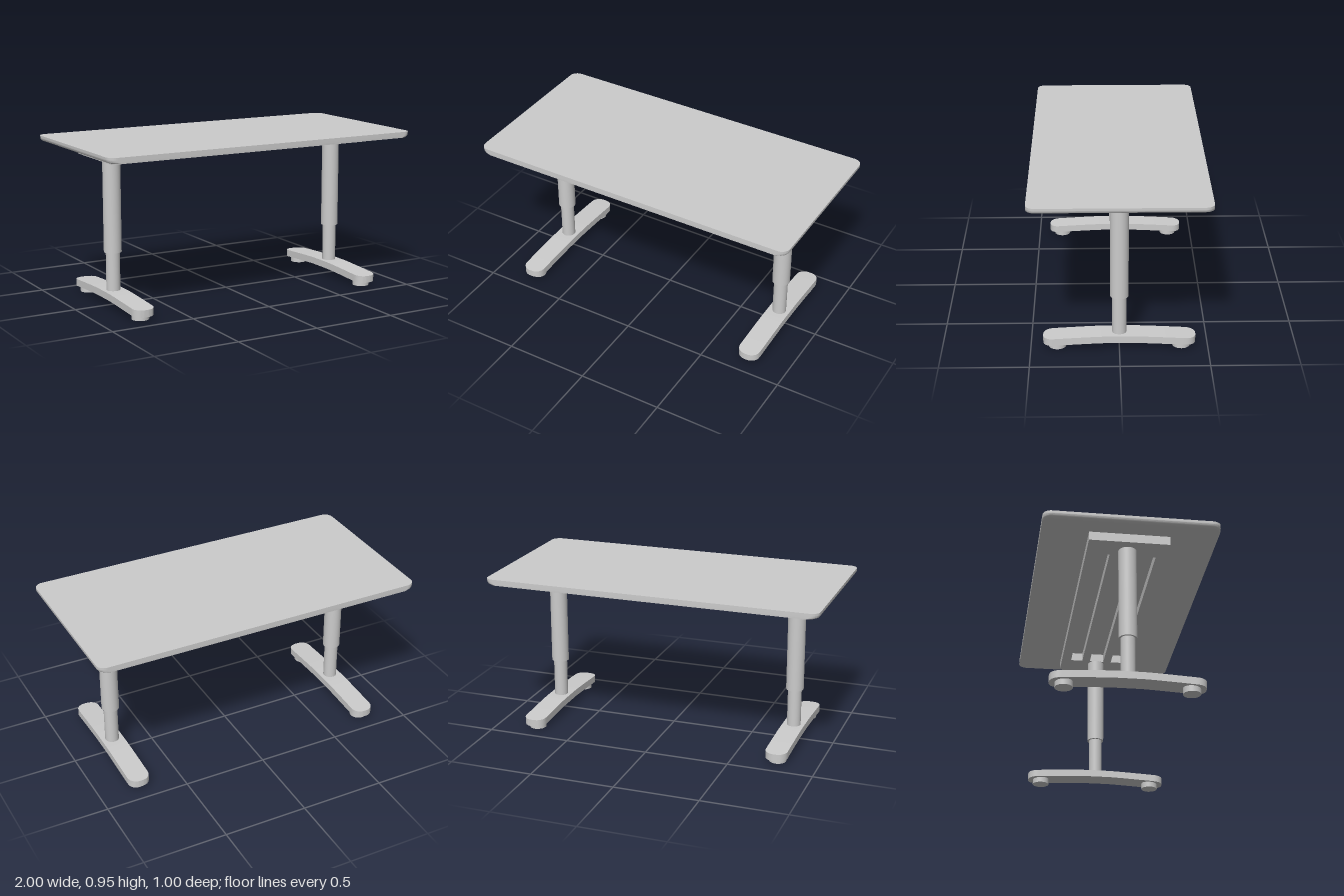
import * as THREE from 'three';
import { toCreasedNormals } from 'three/addons/utils/BufferGeometryUtils.js';

const material = new THREE.MeshStandardMaterial({ color: 0xcccccc });

function add(parent, name, geometry, x = 0, y = 0, z = 0) {
  const mesh = new THREE.Mesh(geometry, material);
  mesh.name = name;
  mesh.position.set(x, y, z);
  parent.add(mesh);
}

// Move every vertex of a geometry by a rule, then keep its sharp edges
function reshape(geometry, rule) {
  const pos = geometry.attributes.position;
  const v = new THREE.Vector3();
  for (let i = 0; i < pos.count; i++) {
    rule(v.fromBufferAttribute(pos, i));
    pos.setXYZ(i, v.x, v.y, v.z);
  }
  return toCreasedNormals(geometry, 0.6);
}

// Round-cornered slab whose short ends curve in towards the underside
function topGeometry() {
  const w = 1, d = 0.5, r = 0.05, h = 0.035;
  const s = new THREE.Shape();
  s.absarc(w - r, d - r, r, 0, Math.PI / 2);
  s.absarc(-w + r, d - r, r, Math.PI / 2, Math.PI);
  s.absarc(-w + r, -d + r, r, Math.PI, Math.PI * 1.5);
  s.absarc(w - r, -d + r, r, Math.PI * 1.5, Math.PI * 2);
  const g = new THREE.ExtrudeGeometry(s, { depth: h, steps: 6, bevelEnabled: false, curveSegments: 8 });
  g.rotateX(-Math.PI / 2);
  return reshape(g, (v) => {
    const t = THREE.MathUtils.clamp(1 - v.y / 0.022, 0, 1);
    v.x *= 1 - 0.025 * (1 - Math.sqrt(1 - t * t));
  });
}

// Bowed foot bar with rounded ends
function footGeometry() {
  const half = 0.43, w = 0.065, r = 0.055;
  const g = new THREE.BoxGeometry(2, 0.042, 2, 1, 1, 48);
  return reshape(g, (v) => {
    v.z = half * Math.sin(v.z * Math.PI / 2);
    const a = Math.abs(v.z);
    const e = Math.max(0, a - (half - r));
    v.x *= w - r + Math.sqrt(Math.max(0, r * r - e * e));
    v.y -= 0.018 * Math.pow(Math.max(0, a - 0.08) / (half - 0.08), 1.2);
  });
}

function tube(radius, bottom, top) {
  return new THREE.CylinderGeometry(radius, radius, top - bottom, 32).translate(0, (bottom + top) / 2, 0);
}

export function createModel() {
  const table = new THREE.Group();
  table.name = 'table';

  add(table, 'tableTop', topGeometry(), 0, 0.918, 0);

  // Support frame: long rails joined by a cross bar over each leg
  const frame = new THREE.Group();
  frame.name = 'supportFrame';
  table.add(frame);
  for (const z of [-0.2, -0.07, 0.07, 0.2]) {
    const width = Math.abs(z) > 0.1 ? 0.06 : 0.05;
    add(frame, 'rail', new THREE.BoxGeometry(1.42, 0.052, width), 0, 0.892, z);
  }
  for (const side of [-1, 1]) {
    add(frame, 'crossBar', new THREE.BoxGeometry(0.15, 0.052, 0.46), side * 0.785, 0.892, 0);
  }

  // Telescopic legs on bowed feet
  for (const side of [-1, 1]) {
    const leg = new THREE.Group();
    leg.name = side > 0 ? 'leftLeg' : 'rightLeg';
    leg.position.x = side * 0.757;
    table.add(leg);
    add(leg, 'upperTube', tube(0.052, 0.315, 0.868));
    add(leg, 'lowerTube', tube(0.041, 0.08, 0.33));
    add(leg, 'foot', footGeometry(), 0, 0.067, 0);
    for (const z of [-0.35, 0.35]) add(leg, 'footPad', tube(0.05, 0, 0.045), 0, 0, z);
  }
  return table;
}
